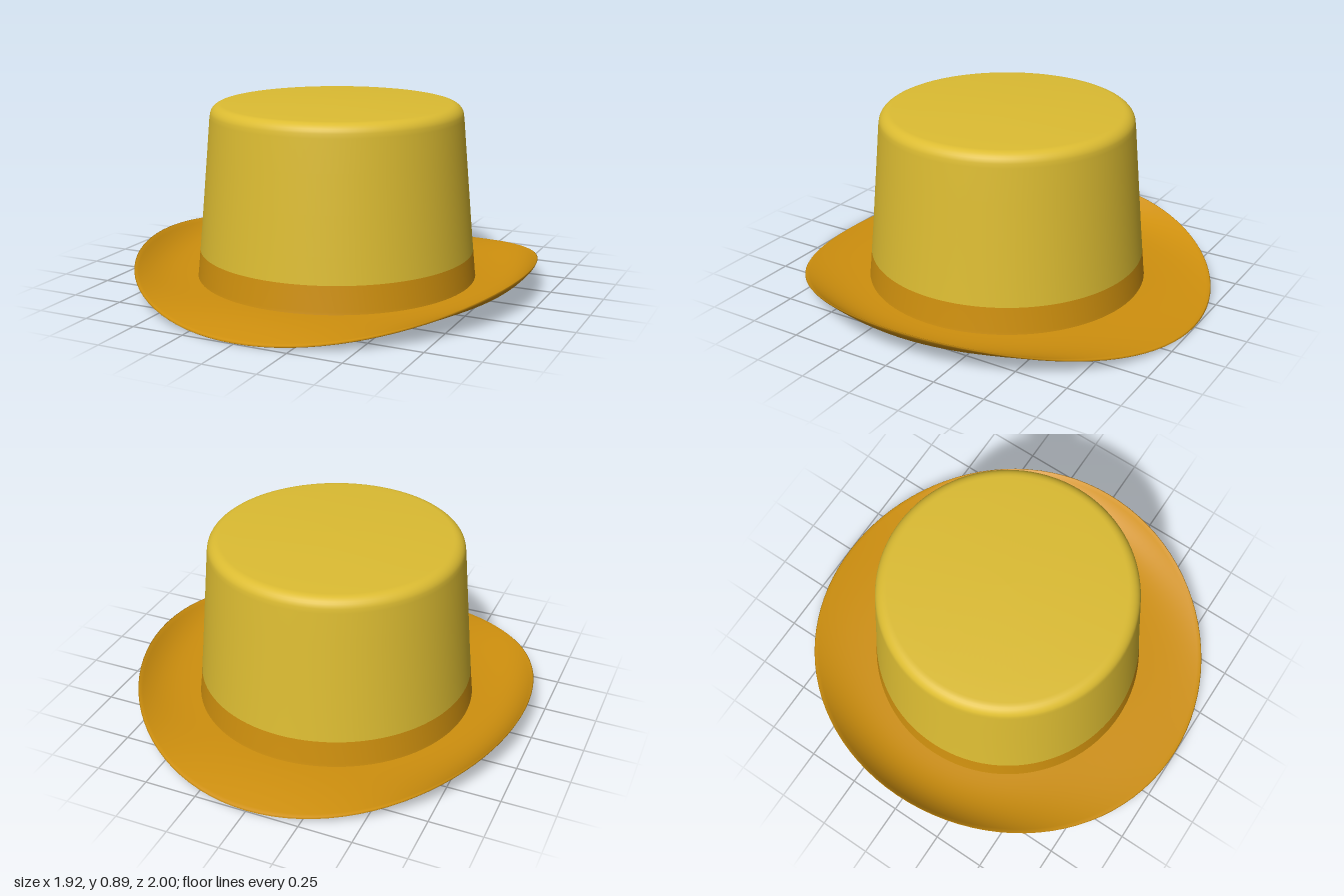
import * as THREE from 'three';
import { mergeVertices } from 'three/addons/utils/BufferGeometryUtils.js';

const SEGMENTS = 96;
const INNER = 0.645; // radius of the head opening

function lathe(name, points, material) {
  const profile = points.map(([r, y]) => new THREE.Vector2(r, y));
  const mesh = new THREE.Mesh(new THREE.LatheGeometry(profile, SEGMENTS), material);
  mesh.name = name;
  return mesh;
}

// Thin ring whose sides curl up and whose front and back dip down
function brimGeometry() {
  const steps = 20, half = 0.005, profile = [];
  for (let i = 0; i <= steps; i++) {
    profile.push(new THREE.Vector2(INNER + (0.995 - INNER) * i / steps, -half));
  }
  profile.push(new THREE.Vector2(1, 0));
  for (let i = steps; i >= 0; i--) {
    profile.push(new THREE.Vector2(INNER + (0.995 - INNER) * i / steps, half));
  }
  let geometry = new THREE.LatheGeometry(profile, SEGMENTS);
  const pos = geometry.attributes.position;
  for (let i = 0; i < pos.count; i++) {
    const x = pos.getX(i), z = pos.getZ(i), r = Math.hypot(x, z);
    const t = Math.max(0, (r - INNER) / (1 - INNER));
    const side = (x / r) ** 2;
    const bend = Math.pow(t, 2 + 1.5 * side) * (0.155 * side - 0.037);
    pos.setX(i, x * (1 - 0.04 * t));
    pos.setY(i, 0.042 + pos.getY(i) + bend);
  }
  // Weld the seam so the shading runs smoothly all round
  geometry.deleteAttribute('uv');
  geometry.deleteAttribute('normal');
  geometry = mergeVertices(geometry, 1e-5);
  geometry.computeVertexNormals();
  return geometry;
}

export function createModel() {
  const yellow = new THREE.MeshStandardMaterial({ color: 0xdcbc32 });
  yellow.name = 'yellow felt';
  const orange = new THREE.MeshStandardMaterial({ color: 0xcf900e });
  orange.name = 'orange felt';

  const hat = new THREE.Group();
  hat.name = 'hat';

  // Tapered wall, rounded shoulder and slightly domed top
  const crown = [[0.658, 0.175], [0.646, 0.3], [0.63, 0.48], [0.614, 0.66], [0.601, 0.81]];
  for (let i = 0; i <= 8; i++) {
    const a = (i / 8) * Math.PI / 2;
    crown.push([0.542 + 0.057 * Math.cos(a), 0.82 + 0.054 * Math.sin(a)]);
  }
  crown.push([0.45, 0.879], [0.3, 0.884], [0.15, 0.888], [0, 0.889]);
  hat.add(lathe('crown', crown, yellow));

  // Band round the foot of the crown
  hat.add(lathe('band', [[0.672, 0.042], [0.669, 0.06], [0.658, 0.175]], orange));

  // Inside of the crown
  const wall = lathe('liningWall', [[0.585, 0.85], [0.61, 0.5], [INNER, 0.037]], orange);
  const ceiling = lathe('liningTop', [[0, 0.85], [0.585, 0.85]], orange);
  hat.add(wall, ceiling);

  const brim = new THREE.Mesh(brimGeometry(), orange);
  brim.name = 'brim';
  hat.add(brim);
  return hat;
}
